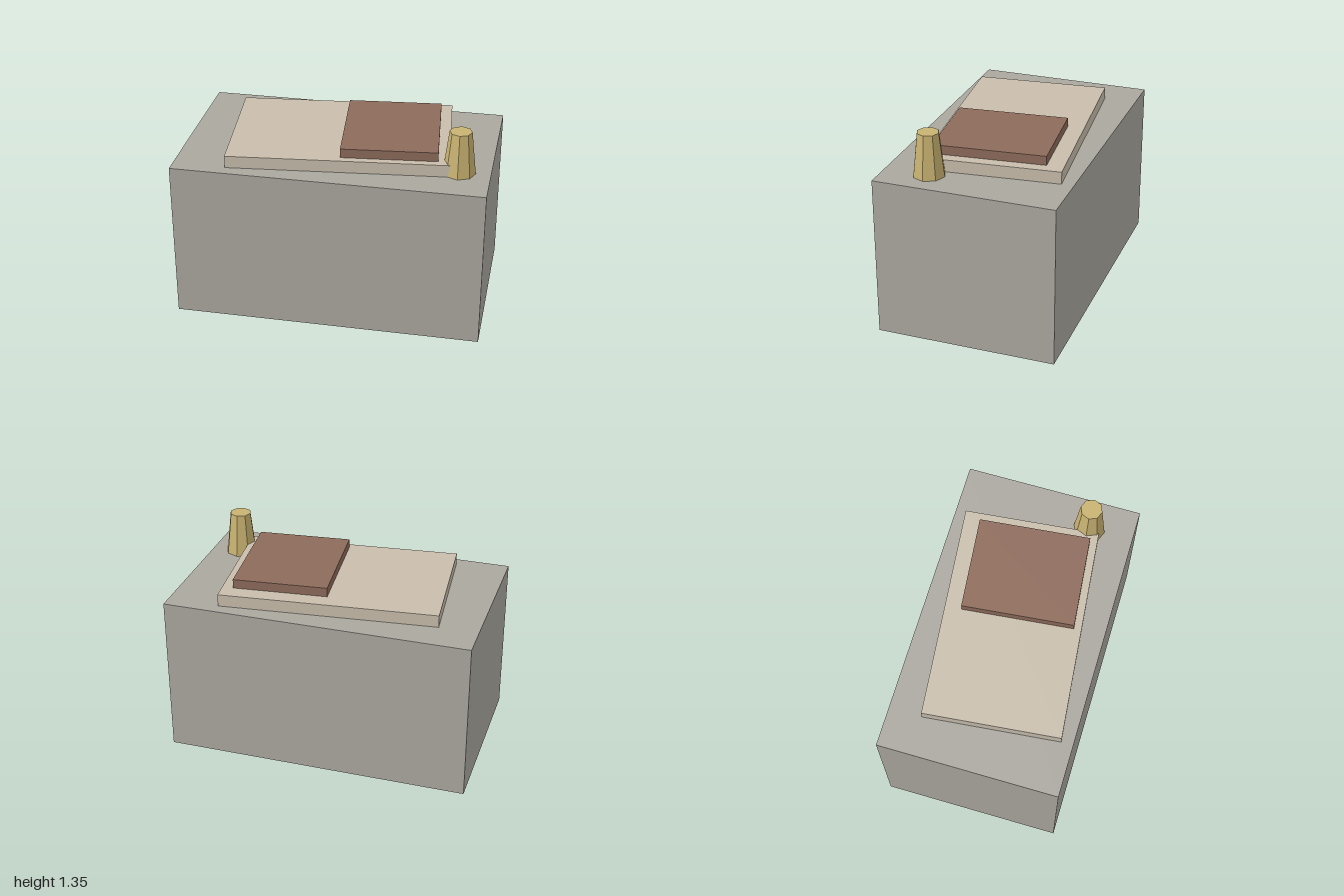
import * as THREE from 'three';

export function createModel() {
  const model = new THREE.Group();
  model.name = 'plinthWithSlabs';

  const material = (name, color) => {
    const m = new THREE.MeshStandardMaterial({ color, flatShading: true });
    m.name = name;
    return m;
  };
  const stone = material('grey stone', 0xaaa79f);
  const cream = material('cream', 0xc9bead);
  const brown = material('brown', 0x8d6b5b);
  const brass = material('brass', 0xc9b372);

  // Places a part with its underside at the given height
  const add = (name, geometry, mat, height, x, bottom, z, turn = 0) => {
    const mesh = new THREE.Mesh(geometry, mat);
    mesh.name = name;
    mesh.position.set(x, bottom + height / 2, z);
    mesh.rotation.y = turn;
    model.add(mesh);
  };
  const box = (name, mat, w, h, d, x, bottom, z, turn) =>
    add(name, new THREE.BoxGeometry(w, h, d), mat, h, x, bottom, z, turn);

  // Solid block, with two slightly turned slabs stacked on it
  const turn = 0.1;
  box('block', stone, 2, 1.06, 1.176, 0, 0, 0);
  box('lowerSlab', cream, 1.412, 0.08, 0.885, 0, 1.06, 0, turn);
  box('upperSlab', brown, 0.614, 0.06, 0.727, 0.328, 1.14, -0.002, turn);

  // Tapered eight-sided post at the front left corner
  add('post', new THREE.CylinderGeometry(0.071, 0.104, 0.285, 8), brass, 0.285, 0.8, 1.06, 0.294);

  return model;
}
